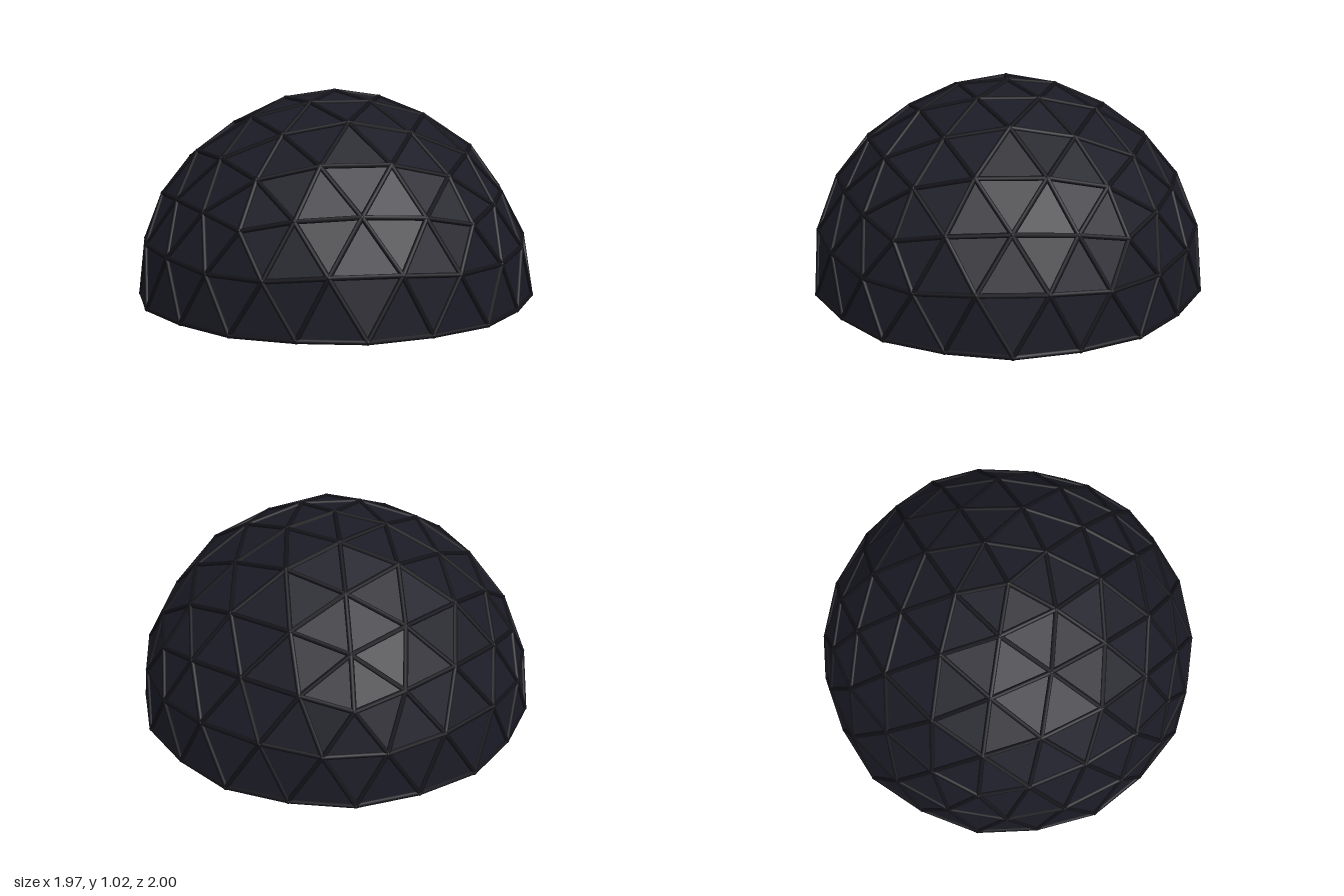
import * as THREE from 'three';
import { mergeGeometries } from 'three/addons/utils/BufferGeometryUtils.js';

const V = (x, y, z) => new THREE.Vector3(x, y, z);
const rad = THREE.MathUtils.degToRad;
const R = 0.988, BASE = 0.014, STRUT = 0.012, FREQ = 4;

// Upper fifteen faces of an icosahedron with one corner at the top
function icoFaces() {
  const ring = (deg, y) => {
    const a = rad(deg), s = Math.sqrt(1 - y * y);
    return V(Math.sin(a) * s, y, -Math.cos(a) * s);
  };
  const h = 1 / Math.sqrt(5), faces = [];
  for (let k = 0; k < 5; k++) {
    const u0 = ring(72 * k, h), u1 = ring(72 * k + 72, h);
    const l0 = ring(72 * k + 36, -h), l1 = ring(72 * k + 108, -h);
    faces.push([V(0, 1, 0), u0, u1], [u0, l0, u1], [l0, l1, u1]);
  }
  return faces;
}

// Geodesic lattice, cut at the equator
function geodesic() {
  const triangles = [], edges = new Map(), nodes = new Map();
  const key = (p) => p.toArray().map((n) => Math.round(n * 1000) + 0).join(',');
  for (const [a, b, c] of icoFaces()) {
    const point = (i, j) => {
      const k = FREQ - i - j, most = Math.max(i, j, k);
      const isMid = most === 2 && Math.min(i, j, k) === 0;
      const r = R * (most === FREQ ? 1.008 : isMid ? 0.985 : 1);
      return V(0, 0, 0).addScaledVector(a, i).addScaledVector(b, j).addScaledVector(c, k).setLength(r);
    };
    const add = (...t) => {
      if (t.some((p) => p.y < -0.001)) return;
      const n = t[1].clone().sub(t[0]).cross(t[2].clone().sub(t[0]));
      if (n.dot(t[0]) < 0) t.reverse();
      triangles.push(t);
      t.forEach((p, m) => {
        const q = t[(m + 1) % 3];
        nodes.set(key(p), p);
        edges.set([key(p), key(q)].sort().join('|'), [p, q]);
      });
    };
    for (let i = 0; i < FREQ; i++) {
      for (let j = 0; j < FREQ - i; j++) {
        add(point(i, j), point(i + 1, j), point(i, j + 1));
        if (i + j < FREQ - 1) add(point(i + 1, j), point(i + 1, j + 1), point(i, j + 1));
      }
    }
  }
  return { triangles, edges: [...edges.values()], nodes: [...nodes.values()] };
}

function strutGeometry([p, q]) {
  const dir = q.clone().sub(p), mid = p.clone().add(q).multiplyScalar(0.5);
  const turn = new THREE.Quaternion().setFromUnitVectors(V(0, 1, 0), dir.clone().normalize());
  return new THREE.CylinderGeometry(STRUT, STRUT, dir.length(), 8, 1, true)
    .applyQuaternion(turn).translate(mid.x, mid.y, mid.z);
}

export function createModel() {
  const group = new THREE.Group();
  const mat = (name, color, side = THREE.FrontSide) => {
    const m = new THREE.MeshStandardMaterial({ color, side });
    m.name = name;
    return m;
  };
  const panelMat = mat('midnight panel', 0x1b1b26, THREE.DoubleSide);
  const strutMat = mat('black frame', 0x111117);
  const floorMat = mat('dark floor', 0x1a1a1e);
  const trimMat = mat('olive trim', 0x8a866c);
  const footMat = mat('grey foot', 0xb0b0b0);
  const add = (name, geometry, material, y = 0) => {
    const mesh = new THREE.Mesh(geometry, material);
    mesh.name = name;
    mesh.position.y = y;
    group.add(mesh);
  };

  // Dome skin: flat triangular panels
  const { triangles, edges, nodes } = geodesic();
  const skin = new THREE.BufferGeometry().setFromPoints(triangles.flat());
  skin.computeVertexNormals();
  add('domePanels', skin, panelMat, BASE);

  // Frame: struts along every edge and a small hub at every joint
  add('struts', mergeGeometries(edges.map(strutGeometry)), strutMat, BASE);
  add('hubs', mergeGeometries(nodes.map((p) =>
    new THREE.SphereGeometry(STRUT * 1.15, 8, 6).translate(p.x, p.y, p.z))), strutMat, BASE);

  // Floor slab, with an olive band around its side
  add('floor', new THREE.CylinderGeometry(0.92, 0.92, 0.02, 64), floorMat, 0.016);
  add('floorTrim', new THREE.CylinderGeometry(0.925, 0.925, 0.05, 64, 1, true), trimMat, 0.035);

  // Feet showing under the floor: [angle, radius] in the floor plane
  const feet = [
    ...[0, 15, 34, 56, 76, 111, 132, 151, 187, 205, 223, 240, 257, 303].map((a) => [a, 0.66]),
    ...[32, 68, 189, 225].map((a) => [a, 0.34]),
  ];
  const fx = Math.sin(rad(-40)), fz = Math.cos(rad(-40));
  add('feet', mergeGeometries(feet.map(([deg, r]) => {
    const u = Math.cos(rad(deg)) * r, v = Math.sin(rad(deg)) * r + 0.05;
    return new THREE.CylinderGeometry(0.045, 0.045, 0.006, 16)
      .translate(-fz * u + fx * v, 0, fx * u + fz * v);
  })), footMat, 0.005);

  return group;
}
